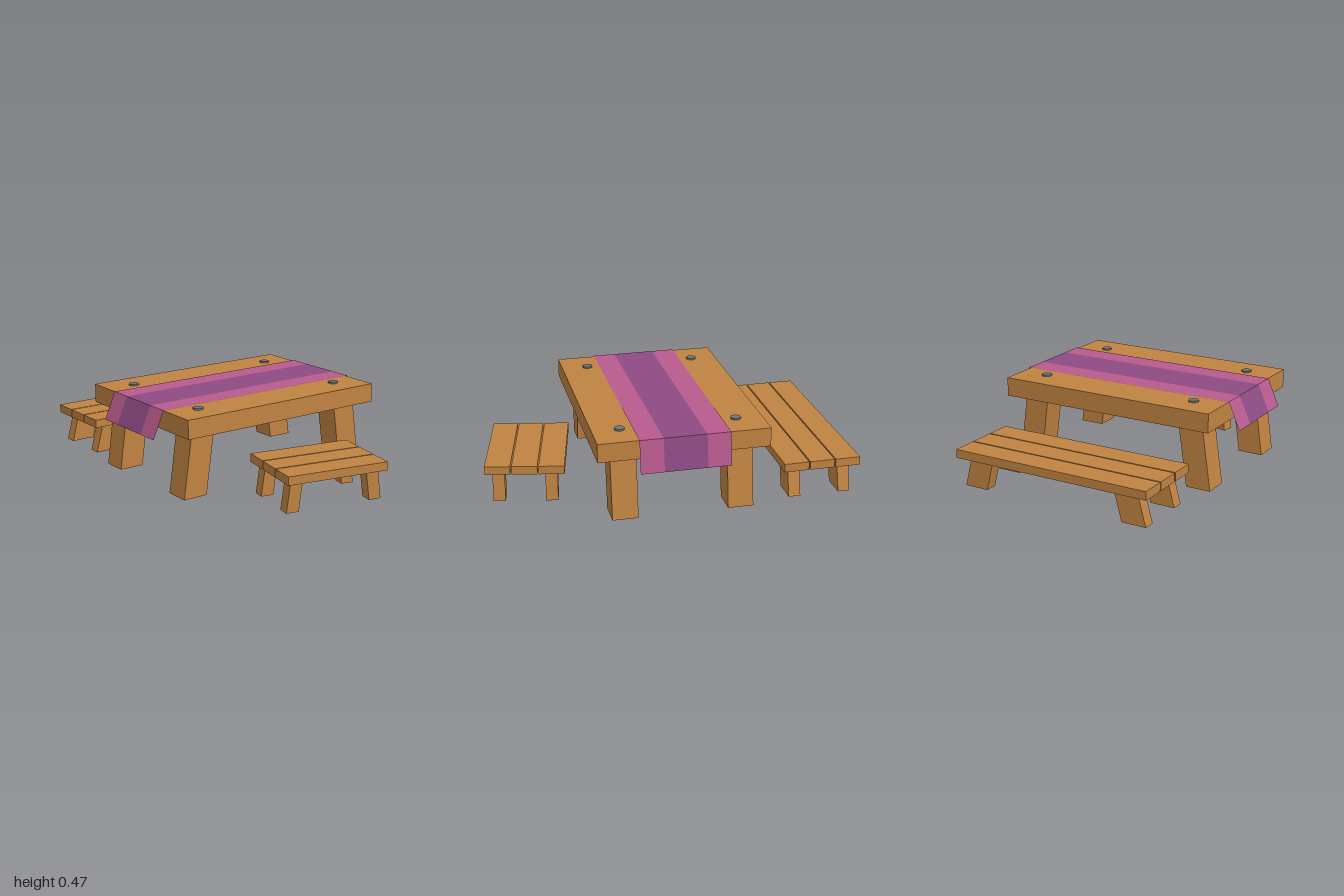
import * as THREE from 'three';

const mat = (name, color) => {
  const m = new THREE.MeshStandardMaterial({ color });
  m.name = name;
  return m;
};

export function createModel() {
  const wood = mat('wood', 0xc08342);
  const pink = mat('pinkCloth', 0xb85a8e);
  const purple = mat('purpleCloth', 0x8e4a84);
  const metal = mat('boltMetal', 0x70757a);
  pink.side = purple.side = THREE.DoubleSide;

  const add = (parent, name, geometry, material, x = 0, y = 0, z = 0) => {
    const mesh = new THREE.Mesh(geometry, material);
    mesh.name = name;
    mesh.position.set(x, y, z);
    parent.add(mesh);
    return mesh;
  };

  // Planks side by side along x
  const addPlanks = (parent, name, count, width, gap, y0, y1, length) => {
    const w = (width - gap * (count - 1)) / count;
    for (let i = 0; i < count; i++) {
      const x = -width / 2 + w / 2 + i * (w + gap);
      add(parent, name, new THREE.BoxGeometry(w, y1 - y0, length), wood, x, (y0 + y1) / 2, 0);
    }
  };

  // Four legs whose feet splay outward along z
  const addLegs = (parent, name, x, w, h, zFoot, zTop, depth) => {
    for (const sx of [-1, 1]) for (const sz of [-1, 1]) {
      const g = new THREE.BoxGeometry(w, h, depth).translate(0, h / 2, 0);
      const p = g.attributes.position;
      for (let i = 0; i < p.count; i++) {
        p.setZ(i, p.getZ(i) + sz * (zFoot + (zTop - zFoot) * p.getY(i) / h));
      }
      g.computeVertexNormals();
      add(parent, name, g, wood, sx * x, 0, 0);
    }
  };

  const model = new THREE.Group();
  model.name = 'picnicSet';

  // Table
  const table = new THREE.Group();
  table.name = 'table';
  table.position.set(-0.008, 0, -0.02);
  addPlanks(table, 'tablePlank', 3, 0.925, 0.004, 0.352, 0.456, 1.26);
  addLegs(table, 'tableLeg', 0.315, 0.14, 0.353, 0.535, 0.485, 0.142);
  for (const sx of [-1, 1]) for (const sz of [-1, 1]) {
    add(table, 'bolt', new THREE.CylinderGeometry(0.028, 0.028, 0.012, 10), metal, sx * 0.315, 0.459, sz * 0.466);
  }
  model.add(table);

  // Table runner: three strips following one profile, [z, y] from back to front
  const profile = [[-0.685, 0.28], [-0.657, 0.459], [0.615, 0.459], [0.68, 0.31]];
  const addStrip = (name, x0, x1, material) => {
    let g = new THREE.PlaneGeometry(x1 - x0, 1, 1, profile.length - 1);
    const p = g.attributes.position;
    for (let i = 0; i < p.count; i++) {
      const [z, y] = profile[Math.floor(i / 2)];
      p.setXYZ(i, p.getX(i), y, z);
    }
    g = g.toNonIndexed();
    g.computeVertexNormals();
    add(model, name, g, material, (x0 + x1) / 2, 0, 0);
  };
  addStrip('runnerEdge', -0.25, -0.122, pink);
  addStrip('runnerCentre', -0.122, 0.11, purple);
  addStrip('runnerEdge', 0.11, 0.237, pink);

  // Benches: the long one is the short one stretched along z
  const addBench = (name, x, stretch, turn) => {
    const bench = new THREE.Group();
    bench.name = name;
    addPlanks(bench, 'seatPlank', 3, 0.428, 0.007, 0.163, 0.21, 0.58 * stretch);
    addLegs(bench, 'benchLeg', 0.142, 0.066, 0.164, 0.243 * stretch, 0.221 * stretch, 0.07 * stretch);
    bench.position.set(x, 0, -0.0225);
    bench.rotation.y = turn;
    model.add(bench);
  };
  addBench('longBench', -0.786, 1.99, 0);
  addBench('shortBench', 0.7325, 1, -0.2);

  return model;
}
